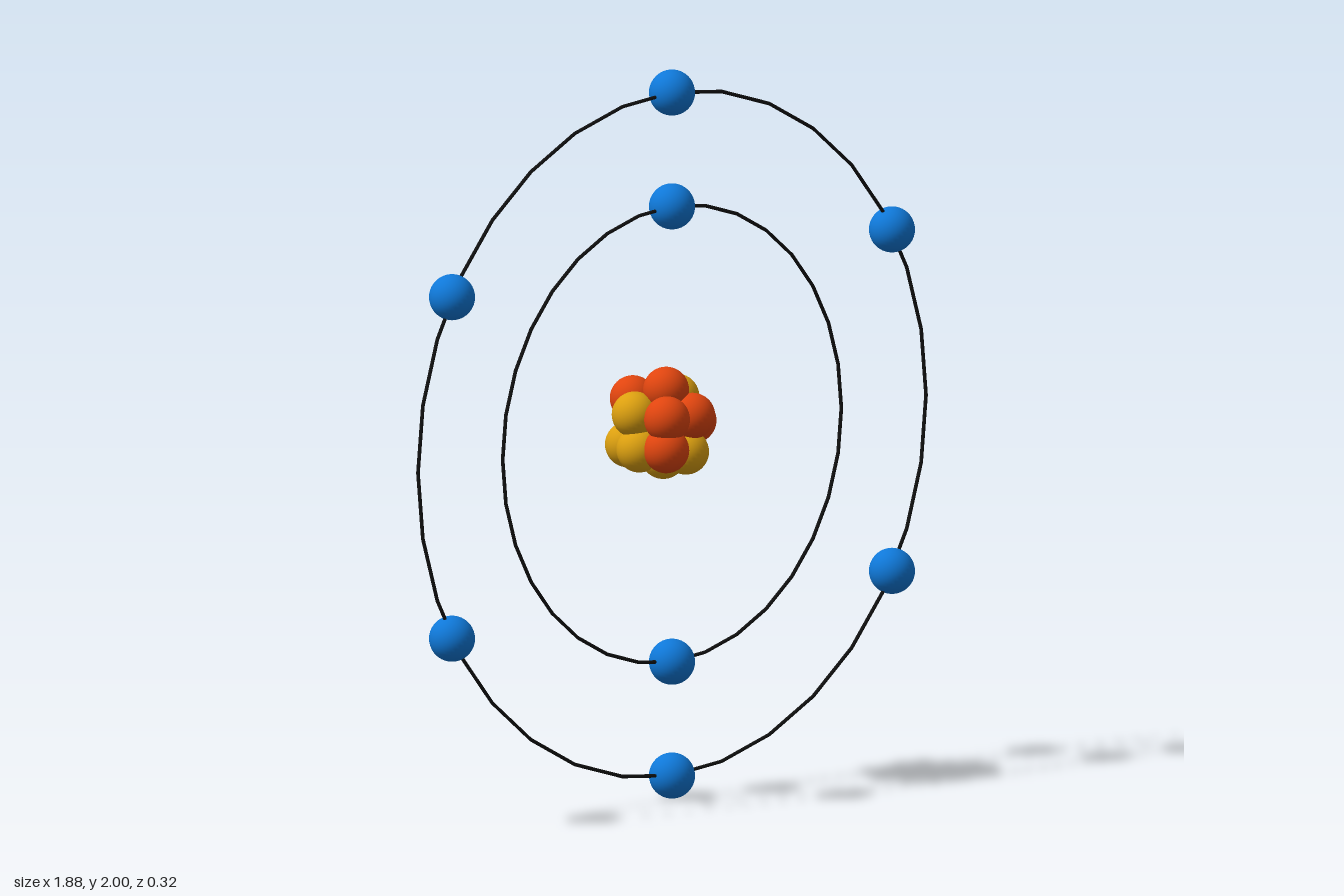
import * as THREE from 'three';

const BALL = 0.0625;        // radius of every particle
const CENTRE_Y = 1;
const RING_Z = 0.0375;

export function createModel() {
  const model = new THREE.Group();
  model.name = 'atom';

  const material = (color) => new THREE.MeshStandardMaterial({ color });
  const red = material(0xe0450f);
  const yellow = material(0xdca010);
  const blue = material(0x0f78d8);
  const dark = material(0x111111);
  const ballGeometry = new THREE.SphereGeometry(BALL, 32, 20);

  const addBall = (parent, name, mat, x, y, z) => {
    const ball = new THREE.Mesh(ballGeometry, mat);
    ball.name = name;
    ball.position.set(x, y, z);
    parent.add(ball);
  };

  // Nucleus: a packed cluster of eight protons and eight neutrons
  const nucleus = new THREE.Group();
  nucleus.name = 'nucleus';
  const protons = [
    [-0.026, 1.125, 0.042], [-0.07, 1.055, 0.093], [0.02, 1.055, 0.097], [-0.07, 0.97, 0.09],
    [0.075, 1.03, 0.042], [-0.045, 1.09, -0.07], [0.008, 1.035, -0.096], [0.03, 0.94, -0.04],
  ];
  const neutrons = [
    [-0.1, 1.06, -0.003], [0.04, 1.095, 0.012], [0.015, 0.955, 0.077], [-0.095, 0.965, 0.01],
    [0.06, 0.95, 0.02], [-0.03, 0.943, 0.035], [0.073, 1.01, -0.042], [-0.06, 0.965, -0.073],
  ];
  protons.forEach((p) => addBall(nucleus, 'proton', red, ...p));
  neutrons.forEach((p) => addBall(nucleus, 'neutron', yellow, ...p));
  model.add(nucleus);

  // Shells: a thin 32-sided ring carrying evenly spaced electrons
  const shells = [
    { name: 'innerShell', radius: 0.625, count: 2 },
    { name: 'outerShell', radius: 0.9375, count: 6 },
  ];
  for (const { name, radius, count } of shells) {
    const shell = new THREE.Group();
    shell.name = name;
    shell.position.set(0, CENTRE_Y, RING_Z);
    const ring = new THREE.Mesh(new THREE.TorusGeometry(radius, 0.005, 8, 32), dark);
    ring.name = 'orbitRing';
    shell.add(ring);
    for (let i = 0; i < count; i++) {
      const a = (i / count) * Math.PI * 2;
      addBall(shell, 'electron', blue, Math.sin(a) * radius, Math.cos(a) * radius, 0);
    }
    model.add(shell);
  }

  return model;
}
